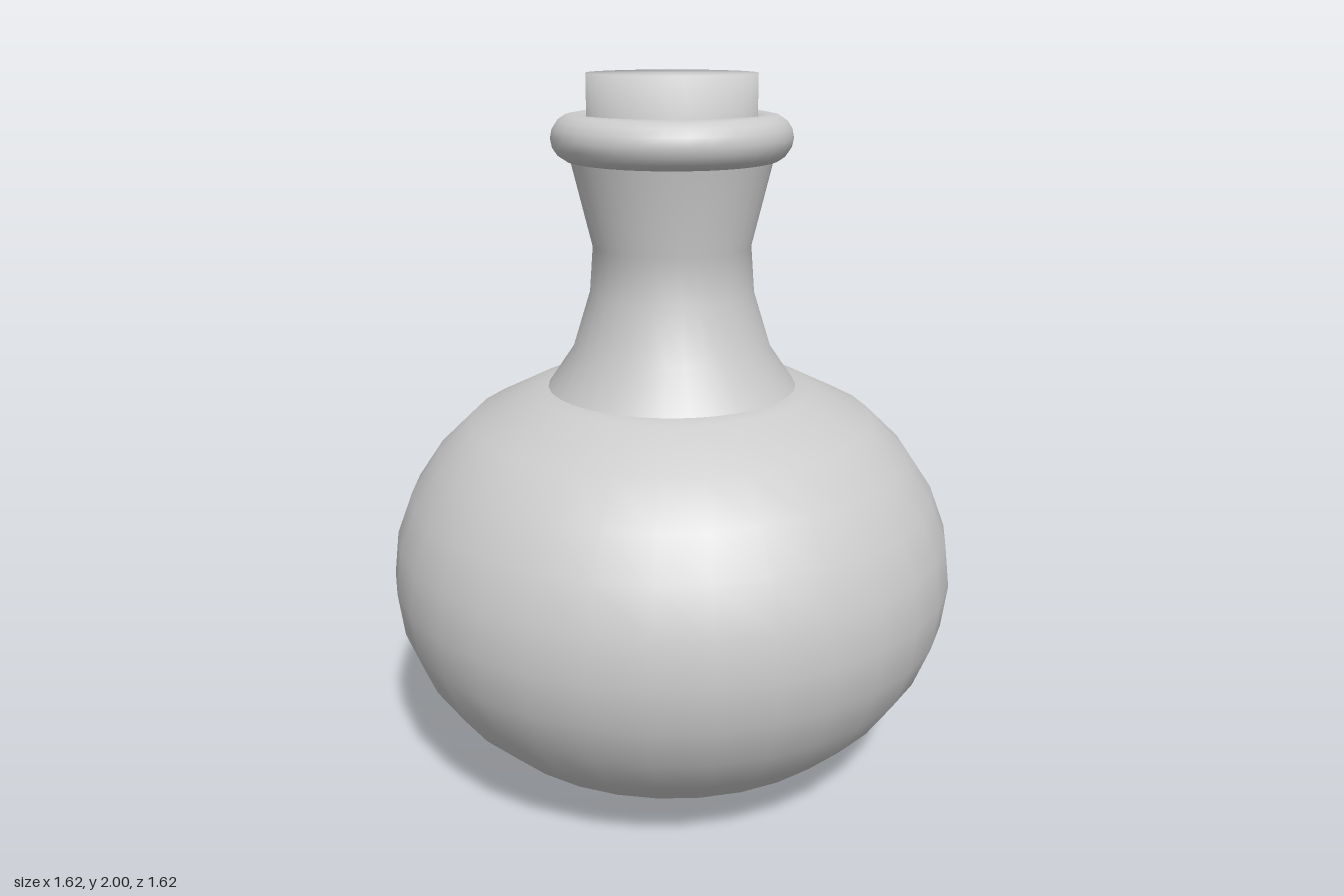
import * as THREE from 'three';

const SEGMENTS = 32;

export function createModel() {
  const flask = new THREE.Group();
  flask.name = 'flask';
  const material = new THREE.MeshStandardMaterial({ color: 0xcccccc, side: THREE.DoubleSide });

  const add = (name, geometry) => {
    const mesh = new THREE.Mesh(geometry, material);
    mesh.name = name;
    flask.add(mesh);
    return mesh;
  };
  // Profiles are [radius, height] pairs running from bottom to top
  const lathe = (name, profile) =>
    add(name, new THREE.LatheGeometry(profile.map(([r, y]) => new THREE.Vector2(r, y)), SEGMENTS));

  // Squashed globe with a small flat foot and a flat shoulder
  const body = [[0, 0], [0.2, 0]];
  for (let i = -6; i <= 4; i++) {
    const a = (i * Math.PI) / 16;
    body.push([0.812 * Math.cos(a), 0.6 + 0.64 * Math.sin(a)]);
  }
  body.push([0.4, 1.14], [0.34, 1.145]);
  lathe('body', body);

  // Waisted neck flaring into the shoulder and the lip
  lathe('neck', [[0.362, 1.13], [0.28, 1.25], [0.23, 1.41], [0.22, 1.54], [0.277, 1.775], [0.277, 1.83]]);

  // Rounded lip around the mouth
  const lip = add('lip', new THREE.TorusGeometry(0.265, 0.064, 16, SEGMENTS));
  lip.rotation.x = Math.PI / 2;
  lip.position.y = 1.832;

  // Stopper, softly shaded across its flat top
  lathe('stopper', [[0.231, 1.78], [0.231, 2], [0, 2]]);

  return flask;
}
